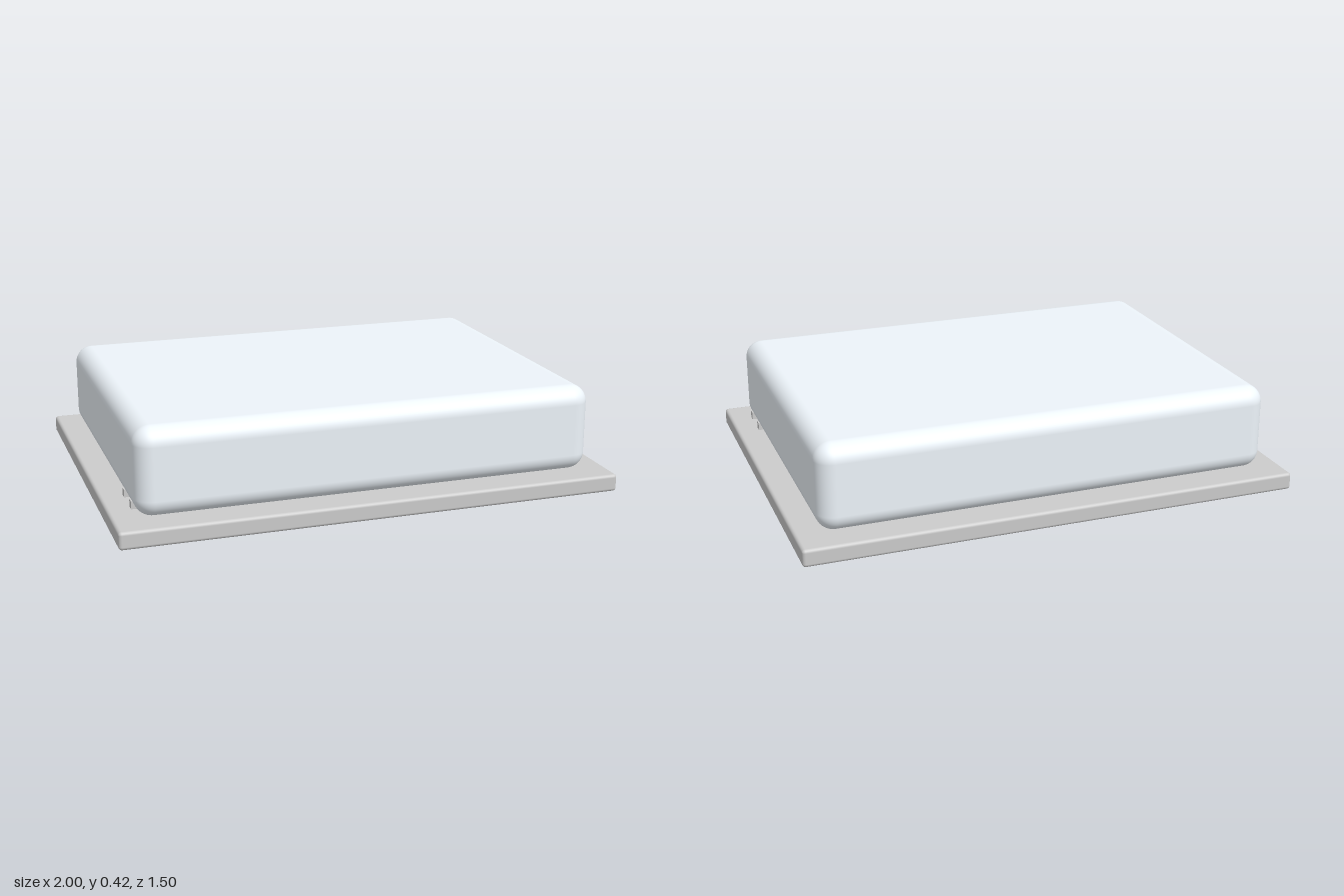
import * as THREE from 'three';
import { RoundedBoxGeometry } from 'three/addons/geometries/RoundedBoxGeometry.js';

export function createModel() {
  const model = new THREE.Group();
  const grey = new THREE.MeshStandardMaterial({ color: 0xcccccc });
  const pale = new THREE.MeshStandardMaterial({ color: 0xedf4fa });

  const add = (name, geometry, material, x, y, z) => {
    const mesh = new THREE.Mesh(geometry, material);
    mesh.name = name;
    mesh.position.set(x, y, z);
    model.add(mesh);
  };

  // Flat base plate with a slight edge rounding
  add('basePlate', new RoundedBoxGeometry(2, 0.07, 1.5, 3, 0.013), grey, 0, 0.035, 0);

  // Soft-cornered body resting on the plate
  add('body', new RoundedBoxGeometry(1.83, 0.347, 1.335, 8, 0.07), pale, 0, 0.2435, 0);

  // Small lugs low on both sides, near the front
  for (const side of [1, -1]) {
    for (const z of [0.552, 0.419]) {
      add(side > 0 ? 'leftLug' : 'rightLug', new THREE.BoxGeometry(0.05, 0.03, 0.032), grey, side * 0.892, 0.101, z);
    }
  }
  return model;
}
